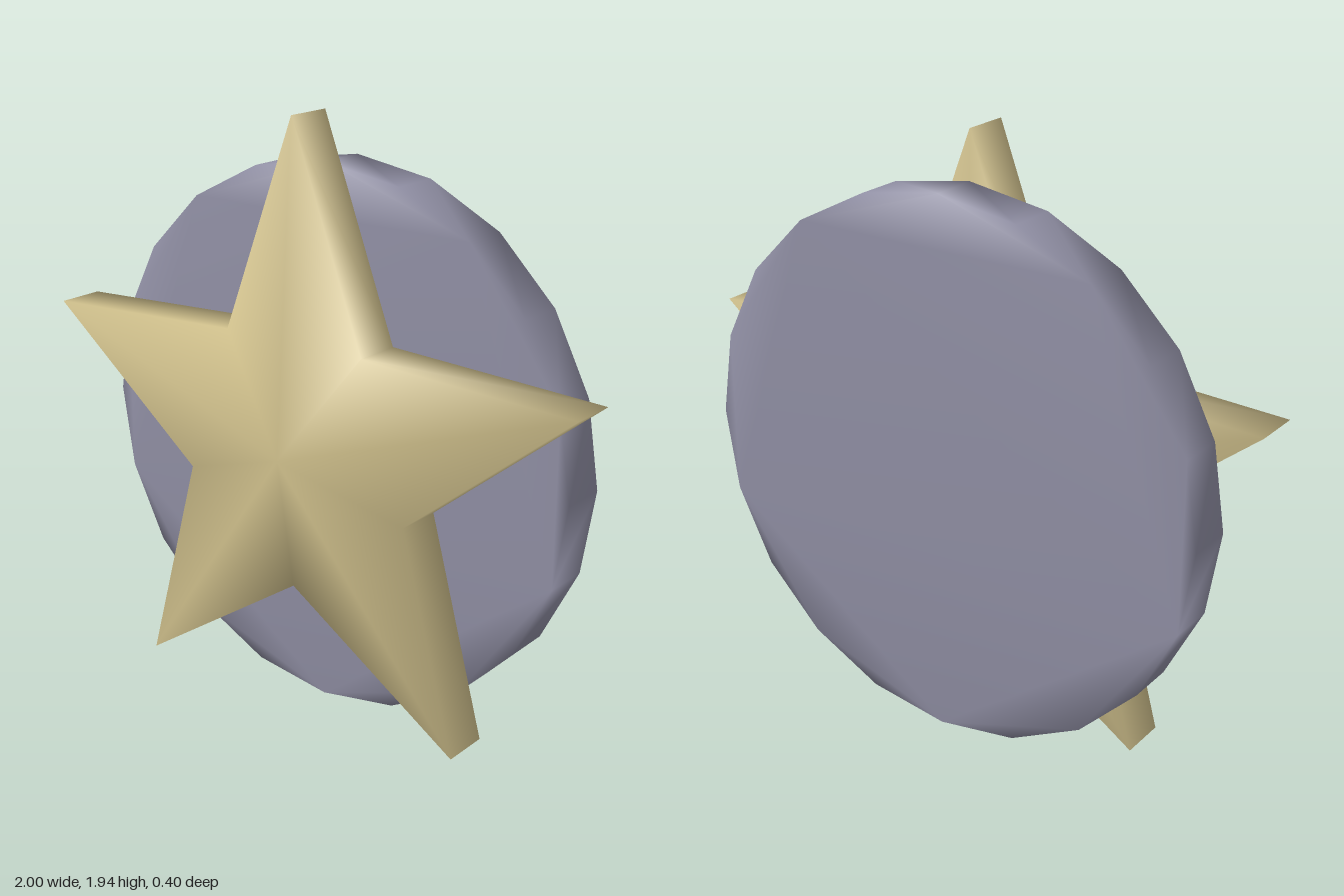
import * as THREE from 'three';
import { mergeVertices } from 'three/addons/utils/BufferGeometryUtils.js';

const CENTRE_Y = 0.895;

// Share vertices across all edges so the shading is smooth
function smooth(geometry) {
  geometry.deleteAttribute('normal');
  geometry.deleteAttribute('uv');
  geometry.clearGroups();
  const merged = mergeVertices(geometry, 1e-4);
  merged.computeVertexNormals();
  return merged;
}

// Five-pointed star: a ten-sided drum with every second corner pulled in
// and the middle of the front raised to a peak
function starGeometry(outer, inner, back, rim, peak) {
  const g = new THREE.CylinderGeometry(1, 1, 1, 10);
  g.rotateY(Math.PI).rotateX(Math.PI / 2);
  const p = g.attributes.position;
  for (let i = 0; i < p.count; i++) {
    const x = p.getX(i), y = p.getY(i);
    const front = p.getZ(i) > 0;
    if (Math.hypot(x, y) < 0.01) {
      p.setXYZ(i, 0, 0, front ? peak : back);
    } else {
      const step = Math.round(Math.atan2(x, y) / (Math.PI / 5));
      const r = step % 2 === 0 ? outer : inner;
      p.setXYZ(i, x * r, y * r, front ? rim : back);
    }
  }
  return smooth(g);
}

// Flat twenty-sided disc with a corner at the top
function discGeometry(radius, depth) {
  const points = [];
  for (let i = 0; i < 20; i++) {
    const a = Math.PI / 2 + (i * Math.PI) / 10;
    points.push(new THREE.Vector2(radius * Math.cos(a), radius * Math.sin(a)));
  }
  return smooth(new THREE.ExtrudeGeometry(new THREE.Shape(points), { depth, bevelEnabled: false }));
}

export function createModel() {
  const gold = new THREE.MeshStandardMaterial({ color: 0xd4c48f });
  gold.name = 'pale gold';
  const grey = new THREE.MeshStandardMaterial({ color: 0x9190a5 });
  grey.name = 'violet grey';

  const group = new THREE.Group();
  group.name = 'starBadge';

  const disc = new THREE.Mesh(discGeometry(0.893, 0.16), grey);
  disc.name = 'backingDisc';
  disc.position.set(0, CENTRE_Y, -0.2);

  const star = new THREE.Mesh(starGeometry(1.051, 0.445, -0.04, 0.12, 0.197), gold);
  star.name = 'star';
  star.position.y = CENTRE_Y;

  group.add(disc, star);
  return group;
}
